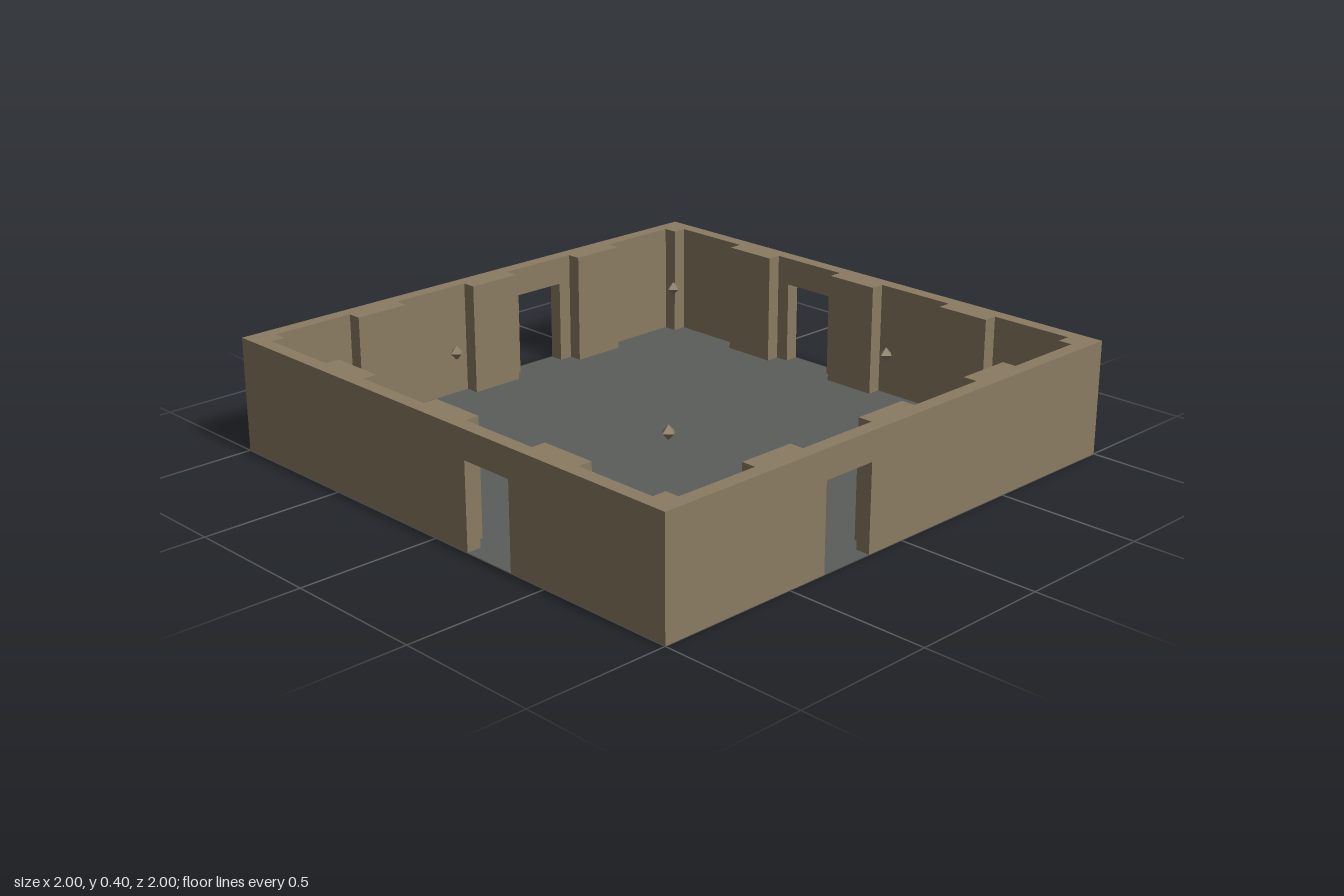
import * as THREE from 'three';

const H = 0.4, T = 0.05;

export function createModel() {
  const room = new THREE.Group();
  room.name = 'room';
  const stone = new THREE.MeshStandardMaterial({ color: 0x8a7b62 });
  stone.name = 'tan stone';
  const slate = new THREE.MeshStandardMaterial({ color: 0x5a5d5a, side: THREE.DoubleSide });
  slate.name = 'grey floor';

  const add = (parent, geometry, material, name, x = 0, y = 0, z = 0) => {
    const mesh = new THREE.Mesh(geometry, material);
    mesh.name = name;
    mesh.position.set(x, y, z);
    parent.add(mesh);
  };

  // Wall outline with a doorway open at the bottom
  const wallGeometry = (half, door) => {
    const shape = new THREE.Shape([
      [-half, 0], [door - 0.1, 0], [door - 0.1, 0.3], [door + 0.1, 0.3],
      [door + 0.1, 0], [half, 0], [half, H], [-half, H],
    ].map(([x, y]) => new THREE.Vector2(x, y)));
    return new THREE.ExtrudeGeometry(shape, { depth: T, bevelEnabled: false });
  };

  // Four sides, each a wall with three pilasters and one corner post
  const sideNames = ['front', 'left', 'back', 'right'];
  sideNames.forEach((name, i) => {
    const side = new THREE.Group();
    side.name = `${name}Side`;
    side.rotation.y = i * Math.PI / 2;
    const even = i % 2 === 0;
    add(side, wallGeometry(even ? 1 : 1 - T, even ? -0.25 : 0.25), stone, 'wall', 0, 0, 1 - T);
    for (const x of [-0.5, 0, 0.5]) {
      add(side, new THREE.BoxGeometry(0.2, H, T), stone, 'pilaster', x, H / 2, 1 - 1.5 * T);
    }
    add(side, new THREE.BoxGeometry(T, H, T), stone, 'cornerPost', 1 - 1.5 * T, H / 2, 1 - 1.5 * T);
    room.add(side);
  });

  // Floor sheet, just above the wall feet
  add(room, new THREE.PlaneGeometry(2, 2).rotateX(-Math.PI / 2), slate, 'floor', 0, 0.0008, 0);

  // Small hanging faceted lamps
  for (const x of [-0.5, 0.5]) {
    for (const z of [-0.5, 0.5]) {
      add(room, new THREE.OctahedronGeometry(0.025), stone, 'lamp', x, 0.35, z);
    }
  }
  return room;
}
